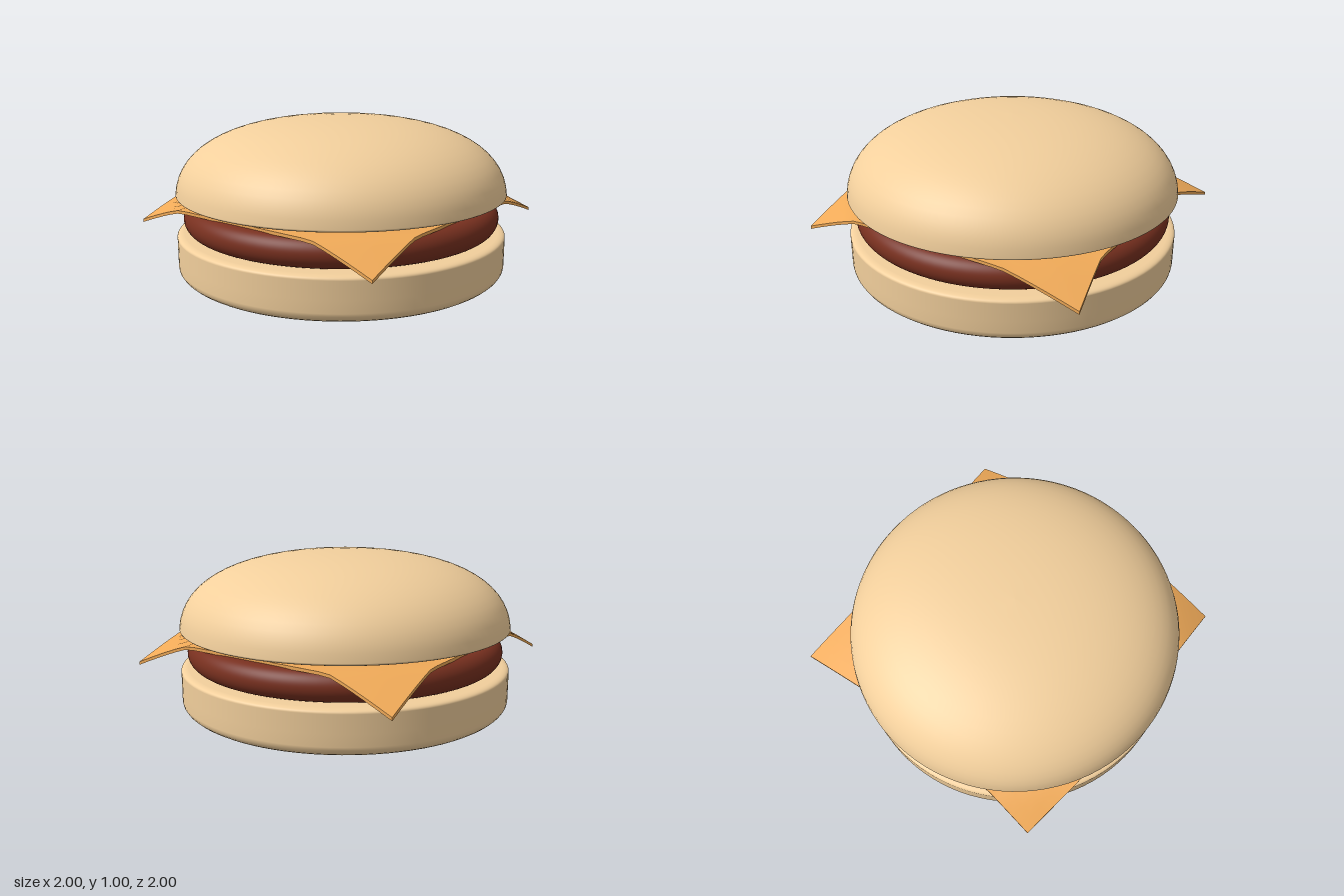
import * as THREE from 'three';

const material = (color) => new THREE.MeshStandardMaterial({ color });

// Round solid from a profile path that runs from the bottom axis to the top axis
function turned(name, path, mat) {
  const points = path.getPoints(16);
  points[0].x = points[points.length - 1].x = 0;
  const mesh = new THREE.Mesh(new THREE.LatheGeometry(points, 96), mat);
  mesh.name = name;
  return mesh;
}

// Thin square sheet whose corners sag and curl over the patty
function cheeseSheet(mat) {
  const half = 0.865, thick = 0.018;
  const geo = new THREE.BoxGeometry(2 * half, thick, 2 * half, 24, 1, 24);
  const pos = geo.attributes.position;
  for (let i = 0; i < pos.count; i++) {
    const x = pos.getX(i), z = pos.getZ(i);
    const fold = Math.max(0, (Math.abs(x) + Math.abs(z) - 1.35) / (2 * half - 1.35));
    const edge = Math.max(Math.abs(x), Math.abs(z)) / half;
    const straight = x > 0 && z > 0; // the front left corner stays square
    pos.setXYZ(
      i,
      x - 0.003 - (straight ? 0 : 0.034 * fold),
      pos.getY(i) + 0.511 - 0.006 * edge ** 4 - 0.13 * fold ** 1.15,
      z + 0.005 - (straight ? 0 : 0.06 * fold)
    );
  }
  geo.computeVertexNormals();
  const mesh = new THREE.Mesh(geo, mat);
  mesh.name = 'cheeseSlice';
  return mesh;
}

export function createModel() {
  const group = new THREE.Group();
  group.name = 'cheeseburger';
  const bun = material(0xf2cf9c);
  const patty = material(0x78301f);
  const cheese = material(0xf0aa58);

  // Bottom bun: gently bulging base, straight wall, small rounded rim
  const bottom = new THREE.Path();
  bottom.moveTo(0, 0.003);
  bottom.lineTo(0.3, 0.006);
  bottom.bezierCurveTo(0.72, 0.015, 1, 0.03, 1, 0.13);
  bottom.lineTo(1, 0.2);
  bottom.lineTo(1, 0.305);
  bottom.quadraticCurveTo(1, 0.325, 0.96, 0.328);
  bottom.lineTo(0.9, 0.33);
  bottom.lineTo(0, 0.33);
  group.add(turned('bottomBun', bottom, bun));

  // Patty: disc with a fully rounded edge
  const disc = new THREE.Path();
  disc.moveTo(0, 0.33);
  disc.lineTo(0.8, 0.33);
  disc.absarc(0.873, 0.415, 0.085, -Math.PI / 2, Math.PI / 2, false);
  disc.lineTo(0.8, 0.5);
  disc.lineTo(0, 0.5);
  group.add(turned('patty', disc, patty));

  group.add(cheeseSheet(cheese));

  // Top bun: flat underside, tight lower rim, domed crown
  const top = new THREE.Path();
  top.moveTo(0, 0.535);
  top.lineTo(0.7, 0.535);
  top.lineTo(0.9, 0.54);
  top.quadraticCurveTo(1, 0.544, 1, 0.565);
  top.bezierCurveTo(0.98, 0.83, 0.66, 1.005, 0, 1.005);
  group.add(turned('topBun', top, bun));

  return group;
}
